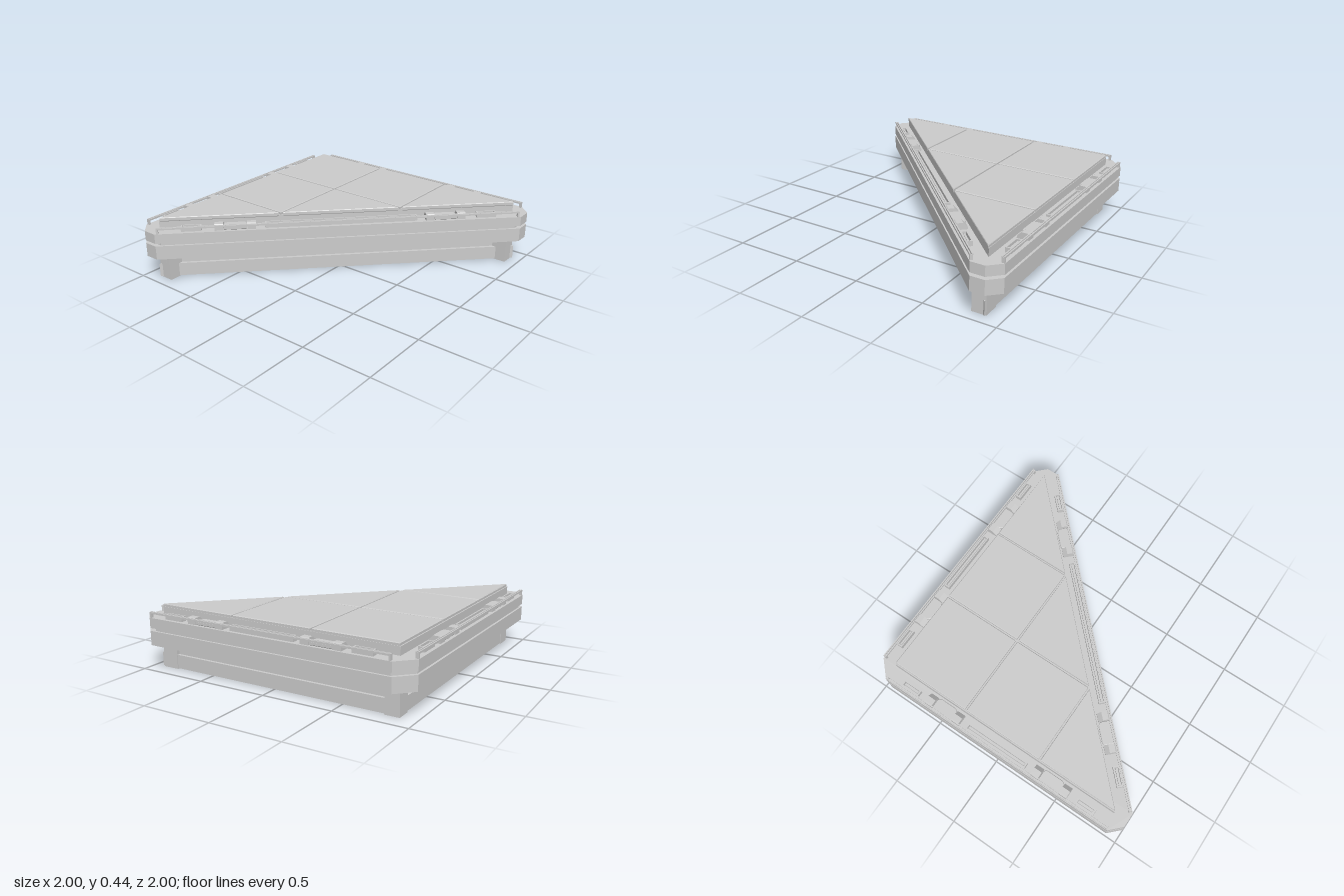
import * as THREE from 'three';

const mat = new THREE.MeshStandardMaterial({ color: 0xcccccc, flatShading: true });

function add(parent, geo, name, x = 0, y = 0, z = 0) {
  const m = new THREE.Mesh(geo, mat);
  m.name = name;
  m.position.set(x, y, z);
  parent.add(m);
  return m;
}
const box = (parent, name, w, h, d, x, y, z) => add(parent, new THREE.BoxGeometry(w, h, d), name, x, y, z);

// Vertical prism from an [x, z] outline, with an optional hole and edge bevel.
// Outline and hole run the same way; the hole is reversed so its walls face inwards.
function prism(parent, name, pts, y0, y1, hole, bevel = 0) {
  const vec = (list) => list.map(([x, z]) => new THREE.Vector2(x, -z));
  const shape = new THREE.Shape(vec(pts));
  if (hole) shape.holes.push(new THREE.Path(vec(hole).reverse()));
  const geo = new THREE.ExtrudeGeometry(shape, {
    depth: y1 - y0 - 2 * bevel, bevelEnabled: bevel > 0, bevelSize: bevel,
    bevelThickness: bevel, bevelOffset: -bevel, bevelSegments: 1,
  });
  geo.rotateX(-Math.PI / 2);
  return add(parent, geo, name, 0, y0 + bevel, 0);
}

// Right triangle with clipped corners, inset by d
function outline(d) {
  const a = -1 + d, s = 0.18 - Math.SQRT2 * d, m = 1 - 2.414 * d;
  return [[a, a + 0.11], [a + 0.11, a], [m - 0.08, a], [m, a + 0.08],
    [m, s - m], [s - m, m], [a + 0.08, m], [a, m - 0.08]];
}

// Sharp triangle bounded by x = a, z = a and x + z = s
const triangle = (a, s) => [[a, a], [s - a, a], [a, s - a]];

// Keep the part of a polygon where x + z <= s
function clip(pts, s) {
  const out = [];
  pts.forEach((p, i) => {
    const q = pts[(i + 1) % pts.length];
    const dp = p[0] + p[1] - s, dq = q[0] + q[1] - s;
    if (dp <= 0) out.push(p);
    if (dp * dq < 0) {
      const t = dp / (dp - dq);
      out.push([p[0] + t * (q[0] - p[0]), p[1] + t * (q[1] - p[1])]);
    }
  });
  return out;
}

// Raised frame around a sunken channel with a thin centre rib
function slot(parent, name, length, x) {
  const z = -0.045, w = 0.042;
  for (const s of [-1, 1]) {
    box(parent, name + 'Side', length, 0.034, 0.008, x, 0.387, z + s * (w / 2 - 0.004));
    box(parent, name + 'End', 0.01, 0.034, w, x + s * (length / 2 - 0.005), 0.387, z);
  }
  box(parent, name + 'Rib', length - 0.03, 0.024, 0.012, x, 0.382, z);
}

// Clamp: two lugs joined by a low plate with rounded inner corners
function clamp(parent, x) {
  const g = new THREE.Group();
  g.name = 'clamp';
  g.position.x = x;
  parent.add(g);
  for (const s of [-1, 1]) {
    const lug = new THREE.Shape([[-0.04, 0], [0.04, 0], [0.04, 0.035], [0.03, 0.045], [-0.01, 0.045], [-0.04, 0.015]]
      .map(([u, v]) => new THREE.Vector2(u, v)));
    const geo = new THREE.ExtrudeGeometry(lug, { depth: 0.06, bevelEnabled: false });
    geo.rotateY(-Math.PI / 2);
    add(g, geo, 'clampLug', s * 0.112 + 0.03, 0.37, -0.055);
  }
  const plate = [[-0.08, -0.02], [0.08, -0.02], [0.08, -0.078], [0.073, -0.093], [0.058, -0.1],
    [-0.058, -0.1], [-0.073, -0.093], [-0.08, -0.078]];
  prism(g, 'clampPlate', plate, 0.37, 0.395, null, 0.004);
}

// Fittings along one edge: local x runs along it, local z points outwards
function edge(parent, name, x, z, turn, o) {
  const g = new THREE.Group();
  g.name = name;
  g.position.set(x, 0, z);
  g.rotation.y = turn;
  parent.add(g);
  for (const d of [-0.006, -0.02]) box(g, 'edgeRail', o.rail, 0.012, 0.008, 0, 0.404, d);
  for (const s of [-1, 1]) {
    box(g, 'railPost', 0.014, 0.035, 0.02, s * (o.rail / 2 - 0.007), 0.386, -0.013);
    clamp(g, s * o.clamp);
    slot(g, 'shortSlot', 0.14, s * o.small);
  }
  slot(g, 'longSlot', o.long, 0);
}

export function createModel() {
  const root = new THREE.Group();
  root.name = 'triangularPlatform';

  // Stacked deck rings with a shadow groove, closed by the deck plate
  const opening = [[-0.75, -0.42], [-0.42, -0.75], [0.21, -0.75], [0.39, -0.51], [-0.51, 0.39], [-0.75, 0.21]];
  const inner = outline(0.1);
  prism(root, 'lowerDeckRing', outline(0), 0.18, 0.28, opening);
  prism(root, 'deckGroove', outline(0.015), 0.28, 0.3, inner);
  prism(root, 'upperDeckRing', outline(0), 0.3, 0.34, inner);
  prism(root, 'deckPlate', outline(0), 0.34, 0.37);

  // Raised floor with bevelled tiles
  prism(root, 'floorBase', triangle(-0.885, 0.015), 0.37, 0.425);
  for (let i = 0; i < 3; i++) {
    for (let j = 0; j < 3 - i; j++) {
      const x0 = -0.877 + i * 0.6, z0 = -0.882 + j * 0.6;
      const x1 = x0 + 0.586, z1 = z0 + 0.586;
      const cell = clip([[x0, z0], [x1, z0], [x1, z1], [x0, z1]], 0.022);
      prism(root, 'floorTile', cell, 0.415, 0.445, null, 0.005);
    }
  }

  // Fittings on the three edges
  const leg = { rail: 1.8, clamp: 0.435, small: 0.71, long: 0.48 };
  edge(root, 'backEdge', 0.02, -1, Math.PI, leg);
  edge(root, 'sideEdge', -1, 0.015, -Math.PI / 2, leg);
  edge(root, 'diagonalEdge', 0.09, 0.09, Math.PI / 4, { rail: 2.55, clamp: 0.74, small: 1.04, long: 1.07 });

  // Hollow base: foot rail below a slightly recessed wall
  prism(root, 'footRail', triangle(-0.885, 0.05), 0.005, 0.1, triangle(-0.84, -0.05));
  prism(root, 'baseWall', triangle(-0.865, 0.02), 0.1, 0.18, triangle(-0.84, -0.04));

  // Corner posts with small socket plates on the outer faces
  box(root, 'apexPost', 0.1, 0.18, 0.1, -0.84, 0.09, -0.84);
  box(root, 'backPost', 0.12, 0.18, 0.1, 0.86, 0.09, -0.84);
  box(root, 'frontPost', 0.1, 0.18, 0.12, -0.84, 0.09, 0.86);
  box(root, 'backPostSocket', 0.006, 0.03, 0.045, 0.92, 0.145, -0.84);
  box(root, 'backPostSocket', 0.045, 0.03, 0.006, 0.865, 0.145, -0.89);
  box(root, 'frontPostSocket', 0.045, 0.03, 0.006, -0.84, 0.145, 0.92);
  box(root, 'frontPostSocket', 0.006, 0.03, 0.045, -0.89, 0.145, 0.865);

  // Beams under the deck
  for (let i = 0; i < 4; i++) {
    const z = -0.6 + i * 0.28, x1 = -0.02 - z;
    box(root, 'underBeam', x1 + 0.88, 0.06, 0.04, (x1 - 0.88) / 2, 0.31, z);
  }
  return root;
}
